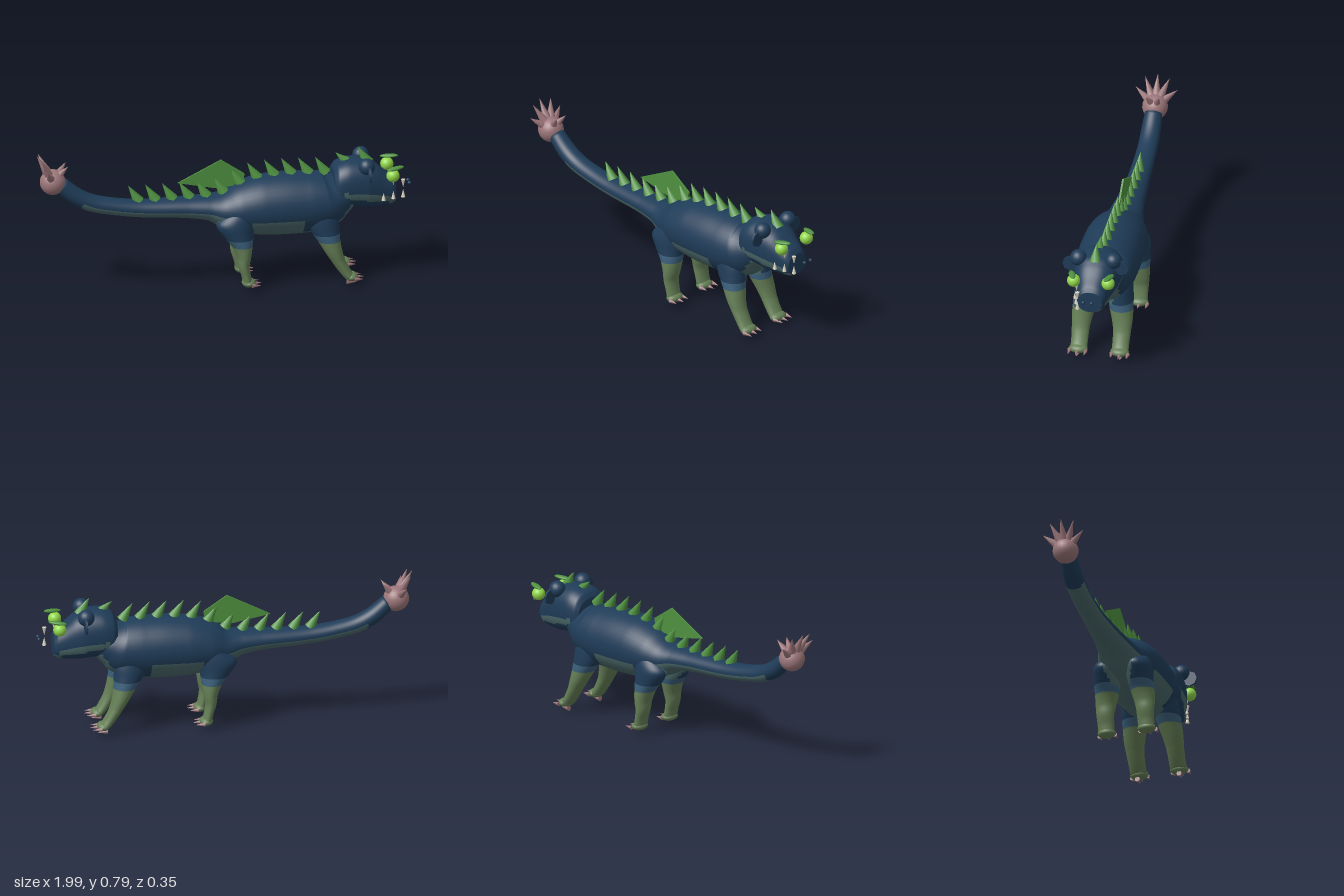
import * as THREE from 'three';

const mat = (name, color) => {
  const m = new THREE.MeshStandardMaterial({ color });
  m.name = name;
  return m;
};

export function createModel() {
  const navy = mat('navy skin', 0x1f3c58);
  const belly = mat('slate belly', 0x4b686a);
  const band = mat('blue leg band', 0x3b607c);
  const olive = mat('olive leg', 0x657f56);
  const pink = mat('dusty pink horn', 0x9c7679);
  const green = mat('green spike', 0x4f9140);
  const lime = mat('lime eye', 0x92d84a);
  const ivory = mat('ivory tooth', 0xddd6c2);

  const model = new THREE.Group();
  model.name = 'spikedLizard';
  const V = (x, y, z) => new THREE.Vector3(x, y, z);

  const add = (name, geo, material, x = 0, y = 0, z = 0) => {
    const m = new THREE.Mesh(geo, material);
    m.name = name;
    m.position.set(x, y, z);
    model.add(m);
    return m;
  };
  const cone = (name, material, base, tip, r, sides = 8) => {
    const dir = tip.clone().sub(base);
    const mid = base.clone().add(tip).multiplyScalar(0.5);
    const m = add(name, new THREE.ConeGeometry(r, dir.length(), sides), material, mid.x, mid.y, mid.z);
    m.quaternion.setFromUnitVectors(V(0, 1, 0), dir.normalize());
    return m;
  };

  // Smooth skin through sections [x, y, z, radius in the xy plane, radius in z];
  // pick(x, y, z, c) chooses the material of each face, c = 1 on the normal side;
  // normal fixes the direction of the first radius, else it follows the path
  const loft = (name, sections, mats, pick, { steps = 80, sides = 32, normal = null, power = 2 } = {}) => {
    const path = new THREE.CatmullRomCurve3(sections.map((s) => V(s[0], s[1], s[2])));
    const radii = new THREE.CatmullRomCurve3(sections.map((s) => V(s[3], s[4], 0)));
    const pos = [];
    const faces = mats.map(() => []);
    const round = (v) => Math.sign(v) * Math.abs(v) ** (2 / power);
    for (let i = -1; i <= steps + 1; i++) {
      const t = Math.min(Math.max(i / steps, 0), 1);
      const p = path.getPoint(t);
      const r = radii.getPoint(t);
      if (i < 0 || i > steps) r.set(0, 0, 0);
      const d = path.getTangent(t);
      const n = normal || V(-d.y, d.x, 0).normalize();
      for (let j = 0; j < sides; j++) {
        const a = (j / sides) * Math.PI * 2;
        const k = round(Math.cos(a)) * r.x;
        pos.push(p.x + n.x * k, p.y + n.y * k, p.z + round(Math.sin(a)) * r.y);
      }
    }
    for (let i = 0; i < steps + 2; i++) {
      for (let j = 0; j < sides; j++) {
        const a = i * sides + j;
        const b = i * sides + ((j + 1) % sides);
        const c = a + sides;
        const d = b + sides;
        const [x, y, z] = [0, 1, 2].map((k) => (pos[a * 3 + k] + pos[d * 3 + k]) / 2);
        faces[pick(x, y, z, Math.cos(((j + 0.5) / sides) * Math.PI * 2))].push(a, b, c, b, d, c);
      }
    }
    const geo = new THREE.BufferGeometry();
    geo.setAttribute('position', new THREE.Float32BufferAttribute(pos, 3));
    geo.setIndex(faces.flat());
    let start = 0;
    faces.forEach((f, i) => {
      geo.addGroup(start, f.length, i);
      start += f.length;
    });
    geo.computeVertexNormals();
    return add(name, geo, mats);
  };

  // Tail, trunk and neck in one skin
  const bodyColour = (x, y, z, c) => {
    if (x < -0.76 || c > -0.2) return 0;
    if (x < 0) return 1;
    if (x > 0.13 && x < 0.41) return c < -0.34 ? 1 : 0;
    return Math.abs(z) < 0.1 ? 1 : 0;
  };
  loft('bodyAndTail', [
    [-0.87, 0.618, 0, 0.042, 0.046], [-0.79, 0.549, 0, 0.046, 0.052], [-0.71, 0.507, 0, 0.046, 0.053],
    [-0.6, 0.48, 0, 0.045, 0.055], [-0.45, 0.459, 0, 0.047, 0.06], [-0.2, 0.449, 0, 0.056, 0.078],
    [-0.08, 0.441, 0, 0.069, 0.096], [0, 0.428, 0, 0.1, 0.122], [0.08, 0.43, 0, 0.136, 0.15],
    [0.2, 0.437, 0, 0.161, 0.165], [0.33, 0.439, 0, 0.167, 0.168], [0.45, 0.439, 0, 0.164, 0.166],
    [0.55, 0.448, 0, 0.148, 0.155], [0.61, 0.467, 0, 0.115, 0.13], [0.67, 0.485, 0, 0.08, 0.1],
    [0.73, 0.5, 0, 0.05, 0.05],
  ], [navy, belly], bodyColour, { steps: 120, sides: 40 });

  // Head tapering to the snout, with pale lip lines and chin
  loft('head', [
    [0.577, 0.523, 0, 0.092, 0.1], [0.6, 0.53, 0, 0.116, 0.119], [0.66, 0.537, 0, 0.128, 0.126],
    [0.75, 0.53, 0, 0.13, 0.12], [0.8, 0.516, 0, 0.117, 0.106], [0.85, 0.495, 0, 0.094, 0.088],
    [0.89, 0.48, 0, 0.075, 0.074], [0.908, 0.473, 0, 0.056, 0.062],
  ], [navy, belly], (x, y) => {
    const lip = x > 0.62 && x < 0.885 && Math.abs(y - 0.496 + 0.19 * (x - 0.63)) < 0.018;
    return lip || (x > 0.87 && y < 0.437) ? 1 : 0;
  }, { steps: 60, sides: 64, power: 2.4, normal: V(0, 1, 0) });

  // Legs: sections as [x, y, distance from the middle, radius x, radius z]
  const rear = [
    [0.1, 0.49, 0.07, 0.05, 0.04], [0.08, 0.43, 0.08, 0.085, 0.062], [0.05, 0.37, 0.09, 0.105, 0.067],
    [0.06, 0.31, 0.092, 0.083, 0.068], [0.08, 0.25, 0.099, 0.055, 0.063], [0.088, 0.19, 0.107, 0.038, 0.055],
    [0.087, 0.14, 0.11, 0.03, 0.048], [0.1, 0.08, 0.11, 0.025, 0.045], [0.108, 0.045, 0.11, 0.026, 0.045],
  ];
  const front = [
    [0.49, 0.49, 0.07, 0.06, 0.04], [0.495, 0.43, 0.08, 0.085, 0.06], [0.505, 0.37, 0.088, 0.09, 0.064],
    [0.52, 0.31, 0.091, 0.079, 0.067], [0.542, 0.25, 0.098, 0.06, 0.063], [0.565, 0.19, 0.107, 0.047, 0.055],
    [0.588, 0.14, 0.11, 0.038, 0.048], [0.62, 0.085, 0.11, 0.034, 0.045], [0.648, 0.045, 0.11, 0.032, 0.045],
  ];
  const legColour = (x, y, z) => {
    if (y < 0.25) return 2;
    if (y > 0.28 && Math.abs(z) < 0.05 + (y - 0.28) * 0.4) return 3;
    return y > 0.287 ? 0 : 1;
  };
  for (const [label, leg, footX] of [['rear', rear, 0.112], ['front', front, 0.657]]) {
    for (const s of [1, -1]) {
      const side = s > 0 ? 'Left' : 'Right';
      loft(`${label}${side}Leg`, leg.map(([x, y, z, a, b]) => [x, y, z * s, a, b]),
        [navy, band, olive, belly], legColour, { steps: 60, normal: V(1, 0, 0) });
      add(`${label}${side}Foot`, new THREE.SphereGeometry(1, 20, 12), olive, footX, 0.046, 0.11 * s)
        .scale.set(0.036, 0.024, 0.05);
      for (const z of [0.07, 0.113, 0.155]) {
        const reach = z === 0.113 ? 0.01 : 0;
        cone(`${label}${side}Claw`, pink, V(footX + 0.012 + reach, 0.041, z * s), V(footX + 0.062 + reach, 0.04, z * s), 0.012);
      }
      if (label === 'front') {
        cone('frontLowerClaw', pink, V(0.635, 0.016, 0.115 * s), V(0.69, 0.012, 0.115 * s), 0.0145);
      }
    }
  }

  // Tail club with a fan of horns
  add('tailClub', new THREE.SphereGeometry(0.068, 24, 16), pink, -0.912, 0.635, 0);
  const horns = [[-0.997, 0.787, 0], [-0.98, 0.775, 0.066], [-0.955, 0.722, 0.113], [-0.835, 0.73, 0.035]];
  for (const [x, y, z] of horns) {
    for (const s of z ? [1, -1] : [1]) {
      const tip = V(x, y, z * s);
      const base = V(-0.912, 0.635, 0).lerp(tip, 0.25);
      cone('tailHorn', pink, base, tip, 0.028);
    }
  }

  // Row of back spikes following the spine, leaning to the tail
  const spine = [[-0.5, 0.503], [-0.2, 0.505], [-0.06, 0.51], [0, 0.527], [0.08, 0.565], [0.2, 0.597], [0.33, 0.605], [0.58, 0.597]];
  const spineY = (x) => {
    const i = Math.max(1, spine.findIndex((p) => p[0] >= x));
    const [a, b] = [spine[i - 1], spine[i]];
    return a[1] + ((b[1] - a[1]) * (x - a[0])) / (b[0] - a[0]);
  };
  for (let i = 0; i < 12; i++) {
    const x = -0.455 + i * 0.0905;
    const y = spineY(x);
    cone('backSpike', green, V(x, y - 0.005, 0), V(x - 0.055, y + 0.085, 0), 0.031);
  }
  cone('napeSpike', green, V(0.65, 0.65, 0), V(0.595, 0.7, 0), 0.026);
  cone('browSpike', green, V(0.765, 0.635, 0), V(0.715, 0.725, 0), 0.034);

  // Thin sail over the hips
  const sail = new THREE.Shape();
  [[-0.245, 0.585], [-0.05, 0.545], [0.1, 0.555], [0.11, 0.615], [-0.015, 0.7]]
    .forEach(([x, y], i) => (i ? sail.lineTo(x, y) : sail.moveTo(x, y)));
  sail.closePath();
  add('backSail', new THREE.ExtrudeGeometry(sail, { depth: 0.01, bevelEnabled: false }), green, 0, 0, -0.005);

  // Paired head details
  for (const s of [1, -1]) {
    add('headBulb', new THREE.SphereGeometry(0.044, 20, 14), navy, 0.745, 0.645, 0.093 * s);
    const ear = add('ear', new THREE.CylinderGeometry(0.042, 0.042, 0.012, 8), navy, 0.752, 0.61, 0.135 * s);
    ear.rotation.z = Math.PI / 2;
    add('eye', new THREE.SphereGeometry(0.035, 20, 14), lime, 0.885, 0.585, 0.092 * s);
    const brow = add('browLeaf', new THREE.SphereGeometry(1, 14, 8), green, 0.897, 0.626, 0.098 * s);
    brow.scale.set(0.05, 0.01, 0.018);
    brow.rotation.set(0, 0.3 * s, 0.08);
    add('nostril', new THREE.SphereGeometry(0.01, 12, 8), navy, 0.985, 0.513, 0.022 * s);
  }

  // Teeth on the left side
  for (const [x, z] of [[0.835, 0.092], [0.89, 0.076], [0.945, 0.06]]) {
    cone('lowerTooth', ivory, V(x, 0.45, z), V(x, 0.495, z), 0.0115);
  }
  cone('upperTooth', ivory, V(0.945, 0.55, 0.06), V(0.945, 0.505, 0.06), 0.0115);
  cone('upperTooth', ivory, V(0.89, 0.555, 0.076), V(0.89, 0.525, 0.074), 0.008);

  return model;
}
